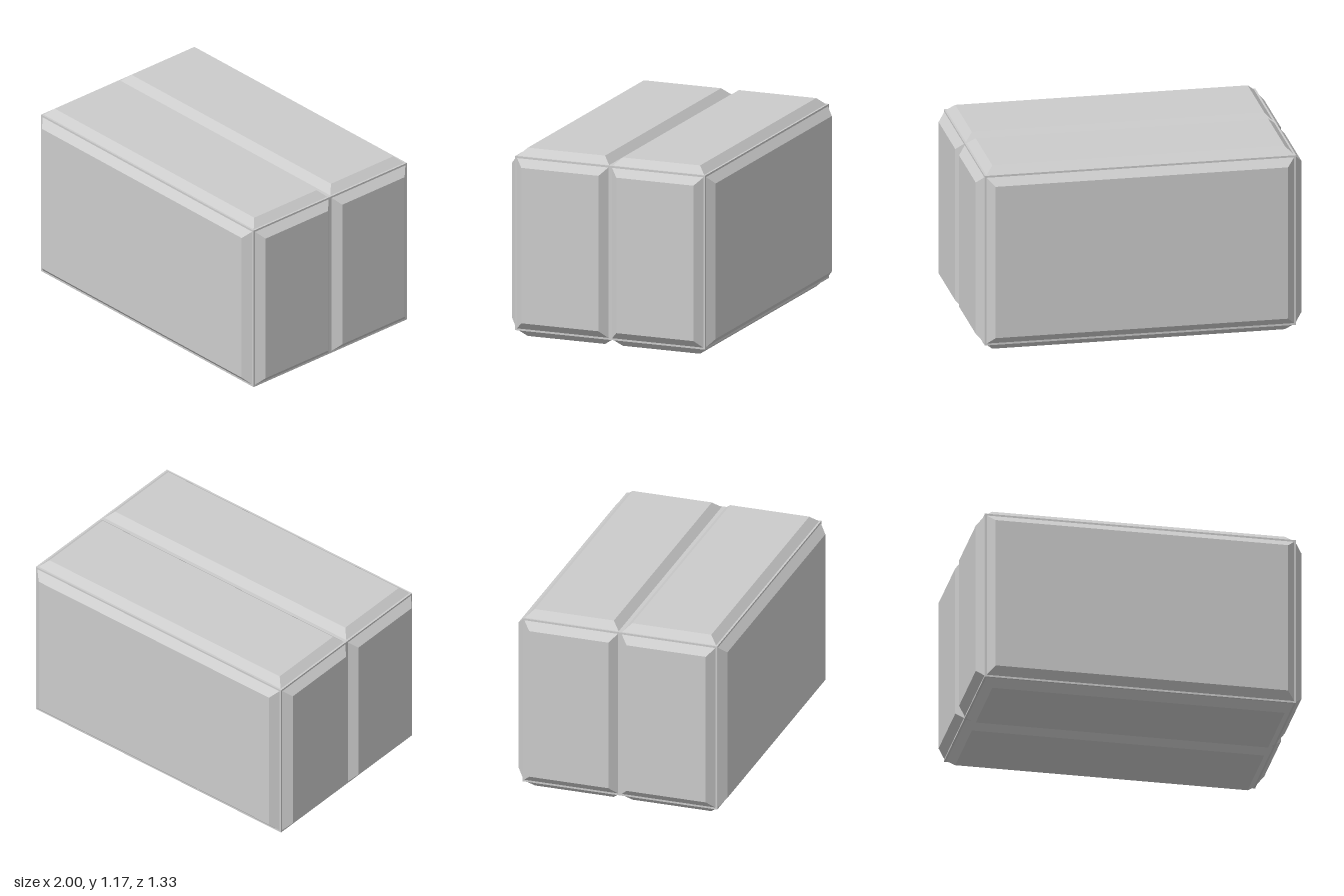
import * as THREE from 'three';

const HALF_X = 0.955, HALF_Y = 0.54, HALF_Z = 0.62; // core half sizes
const CENTRE_Y = 0.584;
const RAISE = 0.044;  // panel thickness
const BEVEL = 0.046;  // slope inset
const MARGIN = 0.012; // strip of core left around each panel

// Bevelled panel: a box whose outer (+z) face is shrunk, with its base on z = 0
function panelGeometry(w, h) {
  const geo = new THREE.BoxGeometry(w, h, RAISE).translate(0, 0, RAISE / 2);
  const p = geo.attributes.position;
  for (let i = 0; i < p.count; i++) {
    if (p.getZ(i) > RAISE / 2) {
      p.setX(i, p.getX(i) - Math.sign(p.getX(i)) * BEVEL);
      p.setY(i, p.getY(i) - Math.sign(p.getY(i)) * BEVEL);
    }
  }
  geo.computeVertexNormals();
  return geo;
}

export function createModel() {
  const group = new THREE.Group();
  const material = new THREE.MeshStandardMaterial({ color: 0xcccccc, flatShading: true });

  const add = (name, geometry, x, y, z, rx = 0, ry = 0) => {
    const mesh = new THREE.Mesh(geometry, material);
    mesh.name = name;
    mesh.position.set(x, CENTRE_Y + y, z);
    mesh.rotation.set(rx, ry, 0);
    group.add(mesh);
  };

  // Solid core
  add('core', new THREE.BoxGeometry(HALF_X * 2, HALF_Y * 2, HALF_Z * 2), 0, 0, 0);

  const long = 2 * (HALF_X - MARGIN);
  const tall = 2 * (HALF_Y - MARGIN);
  const half = HALF_Z - 2 * MARGIN; // width of one panel of a pair
  const facePanel = panelGeometry(long, tall);
  const sidePanel = panelGeometry(half, tall);
  const lidPanel = panelGeometry(long, half);

  // One large panel on the front and the back
  add('frontPanel', facePanel, 0, 0, HALF_Z);
  add('backPanel', facePanel, 0, 0, -HALF_Z, 0, Math.PI);

  // Paired panels on the sides, top and bottom
  for (const [half_, s] of [['Front', 1], ['Back', -1]]) {
    const z = s * HALF_Z / 2;
    add('left' + half_ + 'Panel', sidePanel, HALF_X, 0, z, 0, Math.PI / 2);
    add('right' + half_ + 'Panel', sidePanel, -HALF_X, 0, z, 0, -Math.PI / 2);
    add('top' + half_ + 'Panel', lidPanel, 0, HALF_Y, z, -Math.PI / 2);
    add('bottom' + half_ + 'Panel', lidPanel, 0, -HALF_Y, z, Math.PI / 2);
  }
  return group;
}
